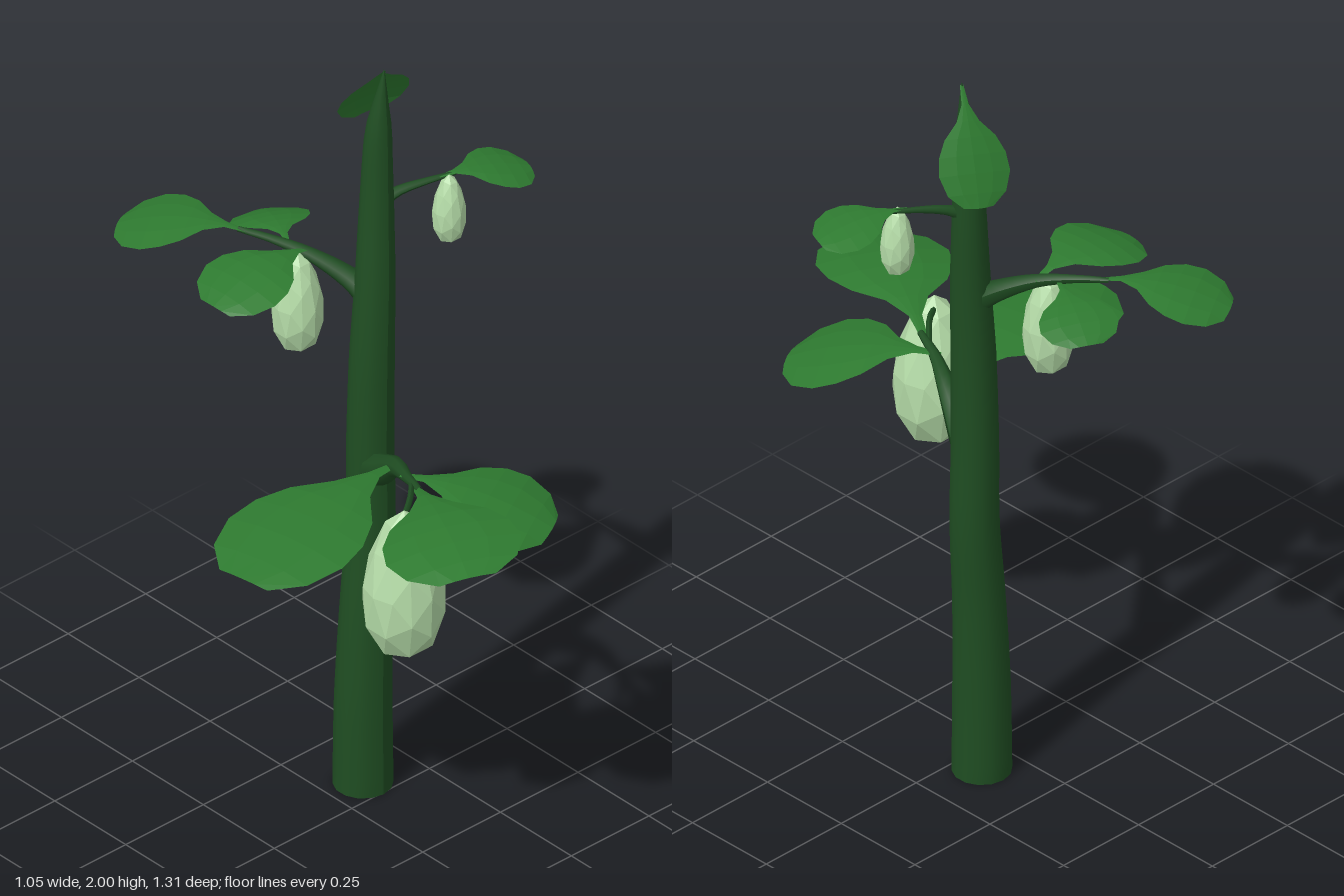
import * as THREE from 'three';

const stemMat = new THREE.MeshStandardMaterial({ color: 0x1f4d22 });
const leafMat = new THREE.MeshStandardMaterial({ color: 0x2e7a30, flatShading: true, side: THREE.DoubleSide });
const fruitMat = new THREE.MeshStandardMaterial({ color: 0xb5dca8, flatShading: true });

const V = (p) => new THREE.Vector3(p[0], p[1], p[2]);

// Tapered tube through points [x, y, z, radius]
function taperedTube(name, pts, rings, sides) {
  const curve = new THREE.CatmullRomCurve3(pts.map(V));
  const geo = new THREE.TubeGeometry(curve, rings, 1, sides);
  const pos = geo.attributes.position;
  const v = new THREE.Vector3();
  for (let i = 0; i <= rings; i++) {
    const u = i / rings;
    const c = curve.getPointAt(u);
    const f = curve.getUtoTmapping(u) * (pts.length - 1);
    const k = Math.min(Math.floor(f), pts.length - 2);
    const r = THREE.MathUtils.lerp(pts[k][3], pts[k + 1][3], f - k);
    for (let j = 0; j <= sides; j++) {
      const n = i * (sides + 1) + j;
      v.fromBufferAttribute(pos, n).sub(c).multiplyScalar(r).add(c);
      pos.setXYZ(n, v.x, v.y, v.z);
    }
  }
  geo.computeVertexNormals();
  const mesh = new THREE.Mesh(geo, stemMat);
  mesh.name = name;
  return mesh;
}

// Spoon-shaped leaf: [position along the midrib, half width]
const leafOutline = [[0, 0.05], [0.16, 0.1], [0.3, 0.32], [0.43, 0.72], [0.57, 0.94],
  [0.72, 1], [0.88, 0.82], [1, 0.42]];

// Arched leaf from base to tip; lift raises the midrib, tilt slants it sideways
function leaf(name, base, tip, halfWidth, lift, tilt = 0) {
  const a = V(base), b = V(tip);
  const dir = b.clone().sub(a).normalize();
  const side = dir.clone().cross(new THREE.Vector3(0, 1, 0)).normalize();
  const up = side.clone().cross(dir);
  side.applyAxisAngle(dir, tilt);
  const columns = [-1, -0.5, 0, 0.5, 1];
  const pos = [], idx = [];
  leafOutline.forEach(([t, w], i) => {
    columns.forEach((s, j) => {
      const p = a.clone().lerp(b, t)
        .addScaledVector(side, s * w * halfWidth)
        .addScaledVector(up, lift * 4 * t * (1 - t) - 0.12 * halfWidth * w * s * s);
      // Corners of the end are pulled back to round it off
      if (i === leafOutline.length - 1) p.addScaledVector(dir, -0.04 * halfWidth * s * s);
      pos.push(p.x, p.y, p.z);
      if (i && j) {
        const n = i * 5 + j;
        idx.push(n, n - 1, n - 6, n, n - 6, n - 5);
      }
    });
  });
  const geo = new THREE.BufferGeometry();
  geo.setAttribute('position', new THREE.Float32BufferAttribute(pos, 3));
  geo.setIndex(idx);
  geo.computeVertexNormals();
  const mesh = new THREE.Mesh(geo, leafMat);
  mesh.name = name;
  return mesh;
}

// Faceted hanging fruit, narrower towards the top
function fruit(name, x, z, bottom, top, radius) {
  const geo = new THREE.IcosahedronGeometry(1, 1);
  const pos = geo.attributes.position;
  for (let i = 0; i < pos.count; i++) {
    const y = pos.getY(i);
    const s = radius * (0.98 - 0.25 * y);
    pos.setXYZ(i, pos.getX(i) * s, y * (top - bottom) / 2, pos.getZ(i) * s);
  }
  geo.computeVertexNormals();
  const mesh = new THREE.Mesh(geo, fruitMat);
  mesh.position.set(x, (top + bottom) / 2, z);
  mesh.name = name;
  return mesh;
}

export function createModel() {
  const model = new THREE.Group();
  model.name = 'fruitingPlant';

  // Main stalk with pointed tip and closed foot
  model.add(taperedTube('stalk', [
    [0.095, 0, -0.065, 0.073], [0.097, 0.25, -0.066, 0.07], [0.108, 0.5, -0.068, 0.064],
    [0.125, 0.72, -0.071, 0.06], [0.126, 0.95, -0.073, 0.058], [0.132, 1.2, -0.074, 0.055],
    [0.146, 1.42, -0.078, 0.049], [0.16, 1.62, -0.088, 0.042], [0.17, 1.83, -0.092, 0.033],
    [0.18, 2, -0.083, 0.001]], 40, 14));
  const foot = new THREE.Mesh(new THREE.CircleGeometry(0.073, 14), stemMat);
  foot.name = 'stalkFoot';
  foot.rotation.x = Math.PI / 2;
  foot.position.set(0.095, 0.001, -0.065);
  model.add(foot);

  // Lower branch
  const lower = new THREE.Group();
  lower.name = 'lowerBranch';
  lower.add(
    taperedTube('lowerStem', [[0.12, 0.89, -0.06, 0.045], [0.09, 0.94, 0.01, 0.038],
      [0.06, 1.0, 0.09, 0.024], [0.02, 1.03, 0.17, 0.014], [-0.01, 1.045, 0.25, 0.008]], 14, 8),
    leaf('lowerLeafRight', [0.08, 1.0, 0.08], [-0.52, 0.99, 0.18], 0.172, 0.035),
    leaf('lowerLeafFront', [-0.005, 1.04, 0.23], [-0.2, 1.07, 0.63], 0.168, 0.035, 0.08),
    leaf('lowerLeafLeft', [0.01, 1.035, 0.16], [0.2, 0.96, 0.49], 0.155, 0.03),
    taperedTube('lowerFruitStem', [[0.01, 1.035, 0.2, 0.008], [-0.06, 1.05, 0.27, 0.008],
      [-0.12, 1.04, 0.31, 0.007]], 6, 6),
    fruit('lowerFruit', -0.12, 0.315, 0.655, 1.07, 0.102));

  // Middle branch
  const middle = new THREE.Group();
  middle.name = 'middleBranch';
  middle.add(
    taperedTube('middleStem', [[0.14, 1.36, -0.08, 0.036], [0.12, 1.4, -0.13, 0.028],
      [0.07, 1.45, -0.22, 0.017], [0.02, 1.475, -0.31, 0.01], [-0.02, 1.485, -0.38, 0.007]], 14, 8),
    leaf('middleLeafBack', [-0.01, 1.485, -0.36], [-0.18, 1.45, -0.63], 0.122, 0.03),
    leaf('middleLeafRight', [0.08, 1.46, -0.23], [-0.24, 1.44, -0.225], 0.12, 0.035),
    leaf('middleLeafLeft', [0.05, 1.465, -0.28], [0.145, 1.42, -0.475], 0.098, 0.02),
    fruit('middleFruit', 0.04, -0.235, 1.18, 1.465, 0.064));

  // Upper branch
  const upper = new THREE.Group();
  upper.name = 'upperBranch';
  upper.add(
    taperedTube('upperStem', [[0.165, 1.62, -0.088, 0.02], [0.21, 1.645, -0.068, 0.013],
      [0.27, 1.66, -0.038, 0.009], [0.34, 1.67, -0.005, 0.005]], 10, 8),
    leaf('upperLeaf', [0.3, 1.67, -0.02], [0.52, 1.64, 0.06], 0.094, 0.018),
    fruit('upperFruit', 0.318, -0.005, 1.48, 1.675, 0.042));

  // Drooping leaf at the tip
  model.add(lower, middle, upper,
    leaf('tipLeaf', [0.18, 1.995, -0.083], [0.275, 1.76, -0.24], 0.094, 0.018, -0.25));
  return model;
}
